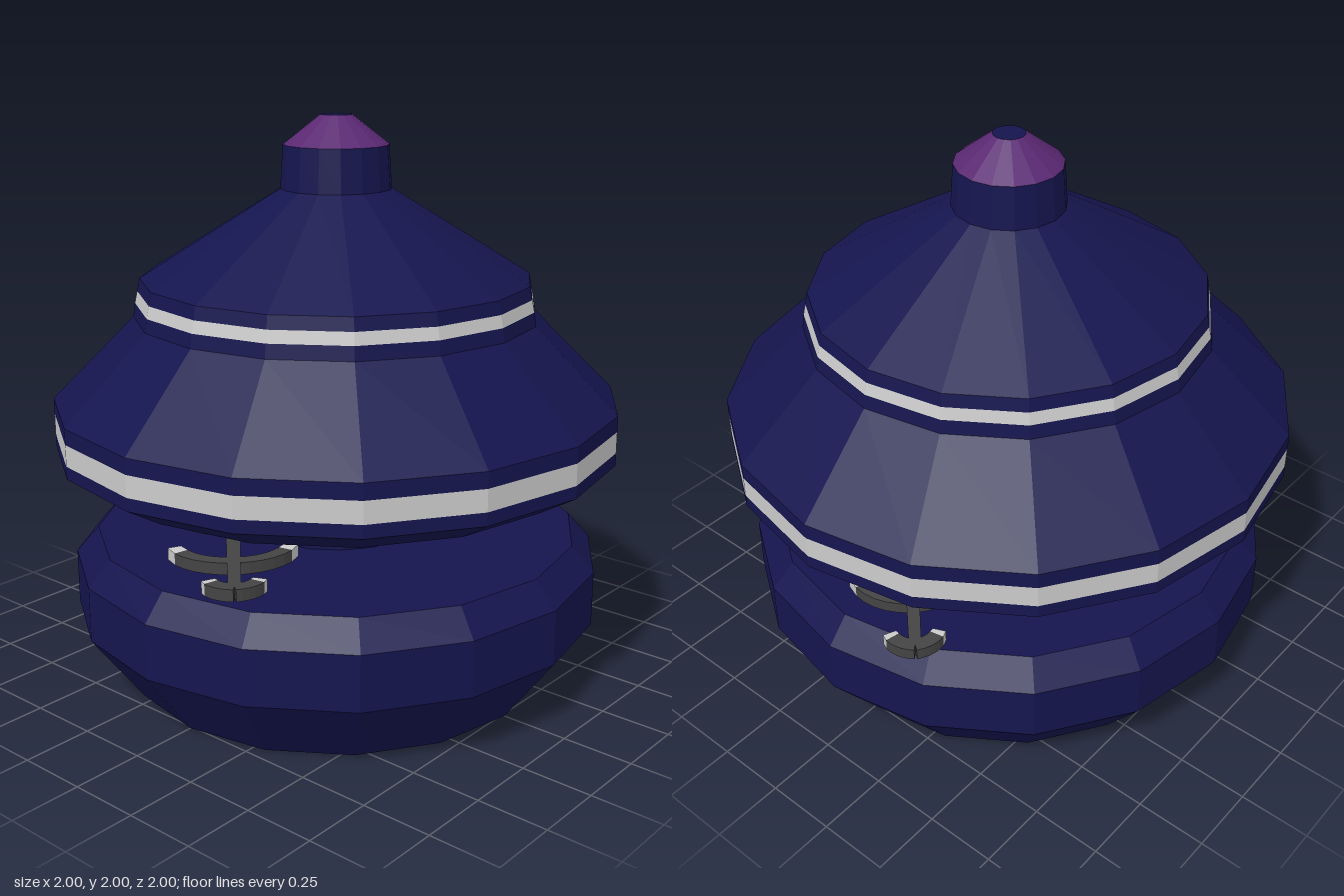
import * as THREE from 'three';

const SIDES = 16;
const paint = (color) => new THREE.MeshStandardMaterial({ color, flatShading: true, side: THREE.DoubleSide });
const navy = paint(0x15154f);
const purple = paint(0x5a2872);
const grey = paint(0xcccccc);
const darkGrey = paint(0x444444);

// Faceted ring or shell turned from [radius, height] pairs, bottom to top
function turned(name, profile, material) {
  const points = profile.map(([r, y]) => new THREE.Vector2(r, y));
  const mesh = new THREE.Mesh(new THREE.LatheGeometry(points, SIDES), material);
  mesh.name = name;
  return mesh;
}

// Rectangular bar bent along part of a flat curve, tapering from start to end size
function bar(name, curve, from, to, startSize, endSize, material, segments = 5) {
  const geo = new THREE.BoxGeometry(1, 1, 1, segments, 1, 1);
  const pos = geo.attributes.position;
  for (let i = 0; i < pos.count; i++) {
    const s = pos.getX(i) + 0.5;
    const t = THREE.MathUtils.lerp(from, to, s);
    const p = curve.getPoint(t);
    const d = curve.getTangent(t);
    const w = pos.getZ(i) * THREE.MathUtils.lerp(startSize[0], endSize[0], s);
    const h = pos.getY(i) * THREE.MathUtils.lerp(startSize[1], endSize[1], s);
    pos.setXYZ(i, p.x - d.z * w, p.y + h, p.z + d.x * w);
  }
  geo.computeVertexNormals();
  const mesh = new THREE.Mesh(geo, material);
  mesh.name = name;
  return mesh;
}

// Claw: tapering spine with three pairs of swept-back ribs and pale tips
function makeClaw(name) {
  const claw = new THREE.Group();
  claw.name = name;
  const v = (x, z) => new THREE.Vector3(x, 0, z);
  const axis = 0.38;
  const root = new THREE.CatmullRomCurve3([v(0, 0.3), v(0.17, 0.34), v(0.34, axis)]);
  const shaft = new THREE.LineCurve3(v(0.34, axis), v(0.9, axis));
  claw.add(bar('clawRoot', root, 0, 1, [0.06, 0.11], [0.05, 0.04], darkGrey));
  claw.add(bar('clawShaft', shaft, 0, 1, [0.05, 0.04], [0.04, 0.04], darkGrey, 1));
  const ribs = [
    { base: 0.36, tip: 0.2, spread: 0.19 },
    { base: 0.7, tip: 0.57, spread: 0.19 },
    { base: 0.91, tip: 0.85, spread: 0.08 },
  ];
  for (const { base, tip, spread } of ribs) {
    for (const side of [-1, 1]) {
      const curve = new THREE.QuadraticBezierCurve3(
        v(base, axis), v(base - 0.01, axis + side * spread * 0.75), v(tip, axis + side * spread));
      claw.add(bar('rib', curve, 0, 0.8, [0.05, 0.04], [0.05, 0.04], darkGrey));
      claw.add(bar('ribTip', curve, 0.8, 1, [0.05, 0.04], [0.045, 0.04], grey, 1));
    }
  }
  claw.position.y = 0.65;
  claw.rotation.y = Math.PI / 4;
  return claw;
}

export function createModel() {
  const model = new THREE.Group();
  model.name = 'tieredTower';

  // Lower drum, neck and skirt of the upper body
  model.add(turned('lowerBody', [
    [0.76, 0], [0.945, 0.25], [0.945, 0.445], [0.865, 0.535], [0.305, 0.535],
    [0.305, 0.765], [0.865, 0.765], [1, 0.845], [1, 0.89],
  ], navy));
  model.add(turned('baseDisc', [[0, 0], [0.76, 0]], grey));

  // Upper tiers with pale bands between them
  model.add(turned('wideBand', [[1, 0.89], [1, 0.965]], grey));
  model.add(turned('middleTier', [[1, 0.965], [1, 1.02], [0.71, 1.31], [0.703, 1.358]], navy));
  model.add(turned('narrowBand', [[0.703, 1.358], [0.694, 1.4]], grey));
  model.add(turned('roof', [[0.694, 1.4], [0.685, 1.445], [0.193, 1.75], [0.183, 1.9]], navy));

  // Pointed cap
  model.add(turned('cap', [[0.183, 1.9], [0.055, 2]], purple));
  model.add(turned('capTop', [[0.055, 2], [0, 2]], navy));

  // Two claws, turned half a circle apart
  const claws = ['leftClaw', 'rightClaw'].map(makeClaw);
  claws[1].rotation.y += Math.PI;
  model.add(...claws);
  return model;
}
